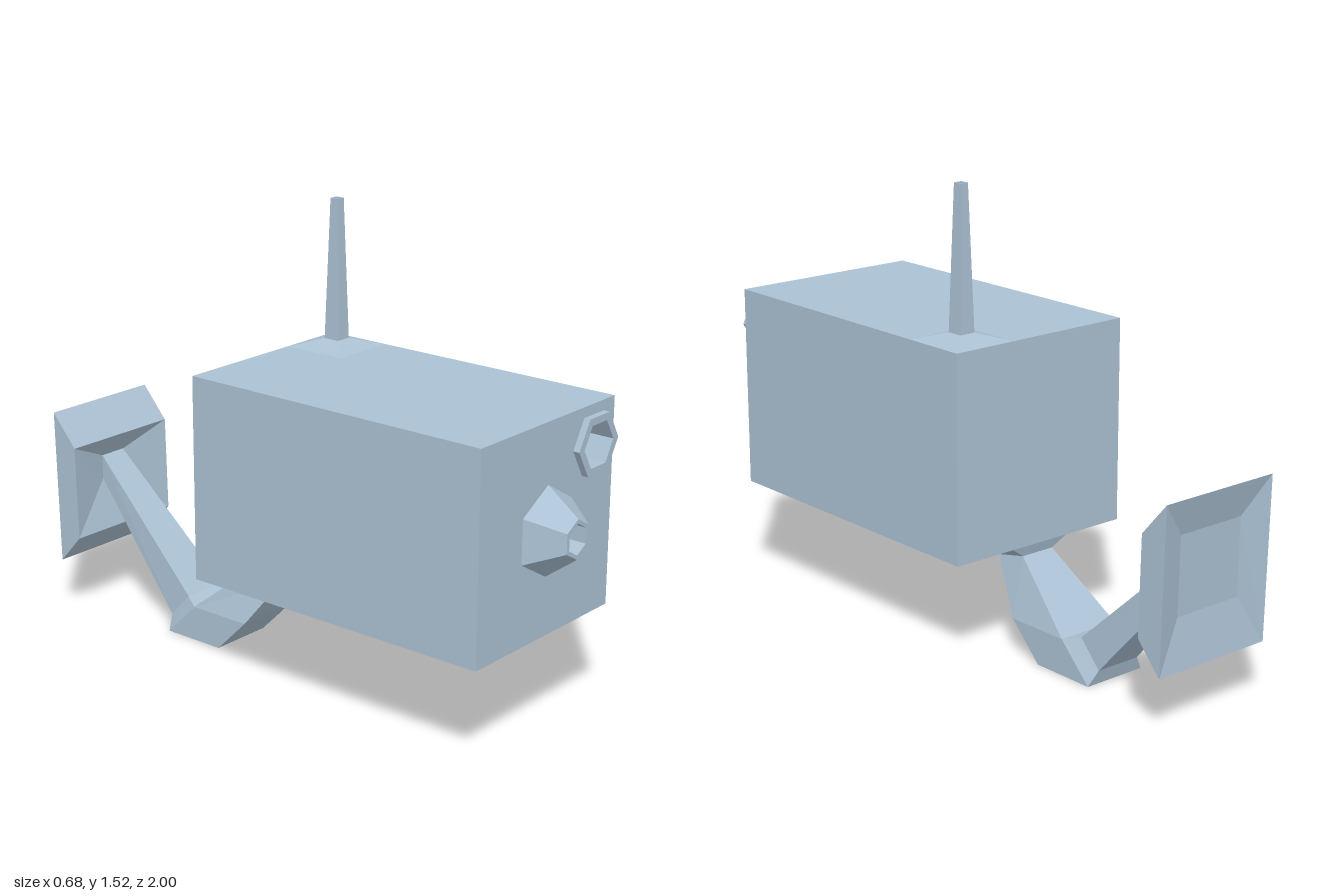
import * as THREE from 'three';

// Straight-sided loft through matching rings; rings run counter-clockwise seen from the end.
function loft(rings, capStart = false, capEnd = false) {
  const pos = [];
  const tri = (...pts) => pts.forEach((p) => pos.push(...p));
  const n = rings[0].length;
  for (let r = 0; r < rings.length - 1; r++) {
    const a = rings[r], b = rings[r + 1];
    for (let i = 0; i < n; i++) {
      const j = (i + 1) % n;
      tri(a[i], a[j], b[j]);
      tri(a[i], b[j], b[i]);
    }
  }
  const first = rings[0], last = rings[rings.length - 1];
  for (let i = 1; i < n - 1; i++) {
    if (capStart) tri(first[0], first[i + 1], first[i]);
    if (capEnd) tri(last[0], last[i], last[i + 1]);
  }
  const g = new THREE.BufferGeometry();
  g.setAttribute('position', new THREE.Float32BufferAttribute(pos, 3));
  g.computeVertexNormals();
  return g;
}

// Four-cornered ring spanning two [z, y] points, with half width w around cx
const rect = (p, q, w, cx = 0) => [
  [cx + w, p[1], p[0]], [cx - w, p[1], p[0]], [cx - w, q[1], q[0]], [cx + w, q[1], q[0]],
];

// Hexagonal ring facing +z
const hex = (cx, cy, z, r, turn = 0) => Array.from({ length: 6 }, (_, i) => {
  const a = turn + (i * Math.PI) / 3;
  return [cx + r * Math.cos(a), cy + r * Math.sin(a), z];
});

export function createModel() {
  const model = new THREE.Group();
  const paint = new THREE.MeshStandardMaterial({ color: 0xabc1d3 });
  paint.name = 'pale blue grey';
  const add = (name, geometry) => {
    const mesh = new THREE.Mesh(geometry, paint);
    mesh.name = name;
    model.add(mesh);
  };

  // Main housing, with an open front closed by a plate that has the port hole
  const W = 0.34, Y0 = 0.35, Y1 = 1.03, BACK = -0.225, FRONT = 0.89;
  add('housing', loft([
    rect([BACK, Y1], [BACK, Y0], W),
    rect([FRONT, Y1], [FRONT, Y0], W),
  ], true));
  const px = 0.23, py = 0.905;
  const plate = new THREE.Shape([[-W, Y0], [W, Y0], [W, Y1], [-W, Y1]].map((p) => new THREE.Vector2(...p)));
  plate.holes.push(new THREE.Path(hex(px, py, 0, 0.078).map(([x, y]) => new THREE.Vector2(x, y)).reverse()));
  add('frontPlate', new THREE.ShapeGeometry(plate).translate(0, 0, FRONT));

  // Hexagonal port: low rim and sunken well
  add('port', loft([
    hex(px, py, FRONT, 0.105), hex(px, py, 0.912, 0.105),
    hex(px, py, 0.912, 0.078), hex(px, py, 0.83, 0.078),
  ], false, true));

  // Tapered hexagonal nozzle with a hollow tip
  const t = Math.PI / 6;
  add('nozzle', loft([
    hex(0, 0.688, FRONT, 0.145, t), hex(0, 0.688, 1, 0.064, t),
    hex(0, 0.688, 1, 0.05, t), hex(0, 0.688, 0.94, 0.05, t),
  ], false, true));

  // Antenna on its shallow pyramid foot, hollow at the top
  const square = (y, h) => rect([-0.112 - h, y], [-0.112 + h, y], h, 0.226);
  add('antenna', loft([
    square(1.03, 0.113), square(1.055, 0.028), square(1.52, 0.015),
    square(1.52, 0.01), square(1.47, 0.01),
  ], false, true));

  // Mount narrowing below the housing, then widening to the elbow
  add('mount', loft([
    rect([0, 0.35], [-0.225, 0.35], 0.113),
    rect([-0.1, 0.29], [-0.215, 0.315], 0.062),
    rect([-0.225, 0.12], [-0.455, 0.12], 0.113),
  ]));

  // Elbow and arm rising to the tail panel
  add('arm', loft([
    rect([-0.345, 0], [-0.225, 0.12], 0.113),
    rect([-0.575, 0], [-0.455, 0.12], 0.113),
    rect([-0.59, 0.05], [-0.51, 0.135], 0.082),
    rect([-0.945, 0.455], [-0.945, 0.54], 0.05),
  ], true));

  // Tail panel, dished at the front and the back
  add('tailPanel', loft([
    rect([-0.945, 0.455], [-0.945, 0.54], 0.05),
    rect([-0.895, 0.29], [-0.903, 0.615], 0.22),
    rect([-0.985, 0.19], [-1, 0.725], 0.22),
    rect([-0.96, 0.35], [-0.966, 0.605], 0.125),
  ], false, true));

  return model;
}
